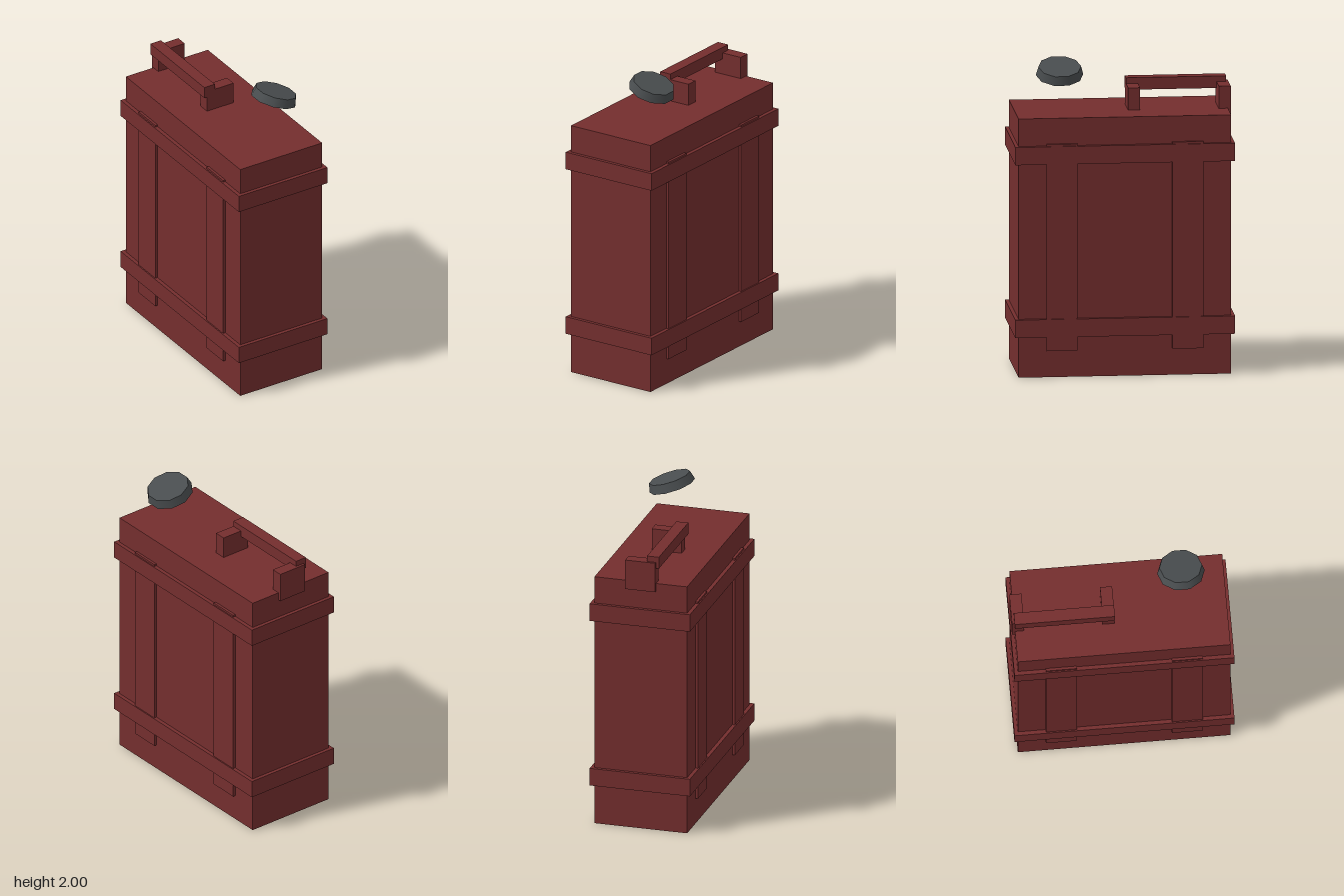
import * as THREE from 'three';

export function createModel() {
  const red = new THREE.MeshStandardMaterial({ name: 'dark red paint', color: 0x742e2e });
  const grey = new THREE.MeshStandardMaterial({ name: 'dark grey cap', color: 0x494d4f });
  const model = new THREE.Group();
  model.name = 'fuelCan';

  // Box given by its lower and upper corner
  function box(parent, name, [x0, y0, z0], [x1, y1, z1]) {
    const mesh = new THREE.Mesh(new THREE.BoxGeometry(x1 - x0, y1 - y0, z1 - z0), red);
    mesh.position.set((x0 + x1) / 2, (y0 + y1) / 2, (z0 + z1) / 2);
    mesh.name = name;
    parent.add(mesh);
  }

  box(model, 'body', [-0.305, 0, -0.672], [0.305, 1.662, 0.672]);

  // Bands wrapped around the body
  box(model, 'lowerBand', [-0.33, 0.26, -0.695], [0.33, 0.375, 0.695]);
  box(model, 'upperBand', [-0.33, 1.37, -0.695], [0.33, 1.485, 0.695]);

  // Two upright ribs on each side
  for (const side of [-1, 1]) {
    for (const end of [-1, 1]) {
      const x = side * 0.31, z = end * 0.398;
      box(model, `${side > 0 ? 'left' : 'right'}${end > 0 ? 'Front' : 'Back'}Rib`,
        [x - 0.012, 0.17, z - 0.098], [x + 0.012, 1.498, z + 0.098]);
    }
  }

  // Carrying handle: two posts and an offset grip
  const handle = new THREE.Group();
  handle.name = 'handle';
  model.add(handle);
  box(handle, 'frontPost', [-0.1, 1.61, -0.118], [0.097, 1.805, -0.042]);
  box(handle, 'backPost', [-0.1, 1.61, -0.691], [0.097, 1.805, -0.615]);
  box(handle, 'grip', [-0.12, 1.765, -0.675], [-0.042, 1.842, -0.042]);

  // Tilted ten-sided cap above the front corner
  const cap = new THREE.Mesh(new THREE.CylinderGeometry(0.135, 0.15, 0.058, 10), grey);
  cap.name = 'cap';
  cap.position.set(0.128, 1.932, 0.395);
  cap.rotation.z = -0.32;
  model.add(cap);

  return model;
}
